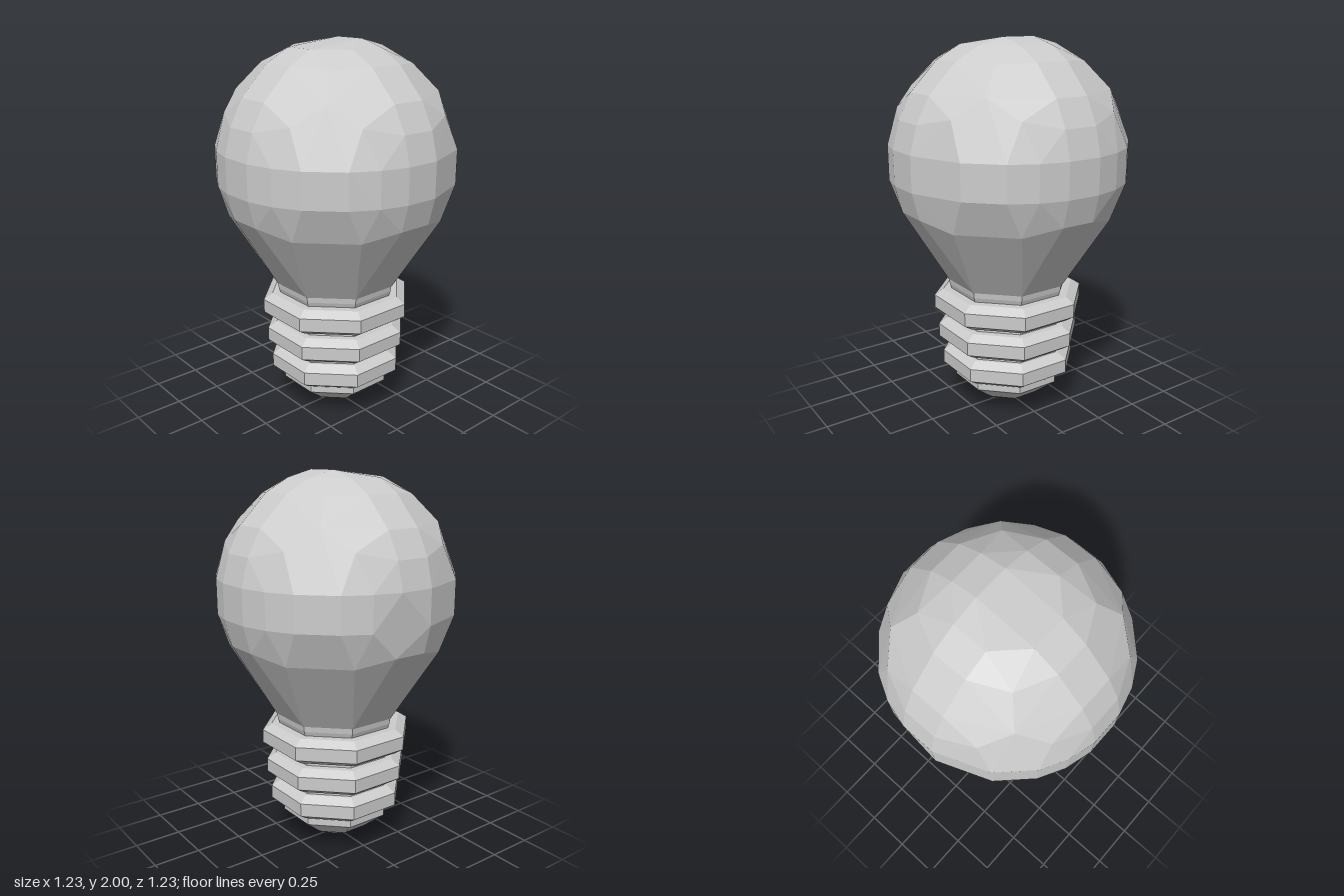
import * as THREE from 'three';
import { ConvexGeometry } from 'three/addons/geometries/ConvexGeometry.js';

const material = new THREE.MeshStandardMaterial({ color: 0xcccccc, flatShading: true });

function addMesh(group, name, geometry) {
  const mesh = new THREE.Mesh(geometry, material);
  mesh.name = name;
  group.add(mesh);
  return mesh;
}

// Eight-sided turned part; radii are measured to the flats
function octagonLathe(profile) {
  const k = 1 / Math.cos(Math.PI / 8);
  const points = profile.map(([r, y]) => new THREE.Vector2(r * k, y));
  return new THREE.LatheGeometry(points, 8, Math.PI / 8);
}

// Faceted globe that tapers straight down to the neck
function globeGeometry() {
  const centreY = 1.385, neckY = 0.73;
  const seeds = [[0.617, 0.09, 0.09], [0.58, 0.23, 0.09], [0.51, 0.36, 0.09], [0.5, 0.27, 0.27], [0.365, 0.365, 0.365]];
  const orders = [[0, 1, 2], [0, 2, 1], [1, 0, 2], [1, 2, 0], [2, 0, 1], [2, 1, 0]];
  const unique = new Map();
  for (const seed of seeds) {
    for (const order of orders) {
      for (let s = 0; s < 8; s++) {
        const [x, y, z] = order.map((o, i) => seed[o] * (s & (1 << i) ? -1 : 1));
        if (y < -0.3) continue; // the taper replaces the underside
        if (y > 0.6 && x < 0) continue; // slanted crown
        if (z > 0.6 && x < 0 && y > 0.1) continue;
        if (z < -0.6 && y < 0 && x > 0) continue; // flattened back facet
        if (Math.abs(z + 0.58) < 0.01 && x < -0.2) continue;
        if (Math.abs(z - 0.58) < 0.01 && x > 0.2) continue;
        unique.set([x, y, z].join(), new THREE.Vector3(x, y + centreY, z));
      }
    }
  }
  const points = [...unique.values()];
  // Neck ring
  for (let i = 0; i < 8; i++) {
    const a = (i + 0.5) * Math.PI / 4;
    points.push(new THREE.Vector3(0.33 * Math.cos(a), neckY, 0.33 * Math.sin(a)));
  }
  return new ConvexGeometry(points);
}

export function createModel() {
  const group = new THREE.Group();
  group.name = 'lightBulb';

  addMesh(group, 'glassGlobe', globeGeometry());

  // Collar under the globe
  addMesh(group, 'neck', octagonLathe([[0.28, 0.64], [0.3, 0.7], [0.305, 0.74]]));

  // Core of the base with the contact tip
  addMesh(group, 'baseCore', octagonLathe([[0.28, 0.2], [0.28, 0.66]]));
  addMesh(group, 'contactTip', octagonLathe([[0, 0], [0.07, 0.003], [0.165, 0.062], [0.278, 0.16], [0.278, 0.21]]));

  // Bevelled screw rings
  const rings = [[0.34, 0.275], [0.36, 0.437], [0.378, 0.608]];
  rings.forEach(([r, y], i) => {
    const h = 0.068, b = 0.032, inner = 0.26;
    addMesh(group, `screwRing${i + 1}`, octagonLathe([
      [inner, y - h], [r - 0.045, y - h], [r, y - h + b],
      [r, y + h - b], [r - 0.045, y + h], [inner, y + h],
    ]));
  });

  return group;
}
